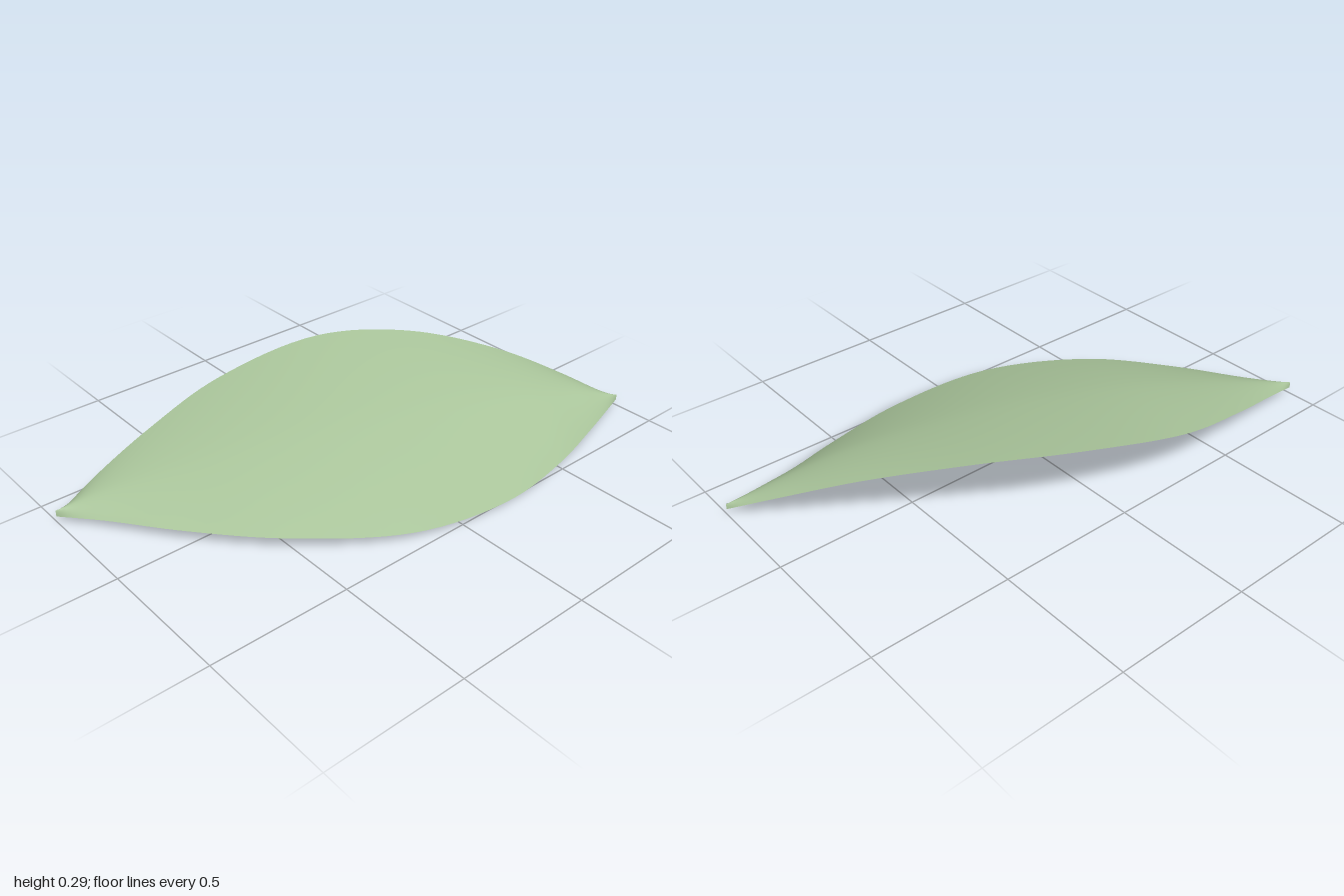
import * as THREE from 'three';

const V = (x, y, z) => new THREE.Vector3(x, y, z);

// Leaf sections from tip to tip: back edge, front edge, height of the arch between them
const sections = [
  [V(-1, 0.025, -0.385), V(-1, 0.025, -0.385), 0.023],
  [V(-0.83, 0.08, -0.43), V(-0.9, 0.04, -0.24), 0.025],
  [V(-0.57, 0.145, -0.485), V(-0.74, 0.05, -0.01), 0.028],
  [V(-0.25, 0.215, -0.52), V(-0.52, 0.055, 0.24), 0.033],
  [V(0.15, 0.285, -0.44), V(-0.18, 0.035, 0.46), 0.032],
  [V(0.45, 0.275, -0.26), V(0.2, 0.01, 0.515), 0.036],
  [V(0.7, 0.205, -0.03), V(0.52, 0.002, 0.47), 0.044],
  [V(0.87, 0.115, 0.165), V(0.78, 0.006, 0.4), 0.04],
  [V(1, 0.025, 0.34), V(1, 0.025, 0.34), 0.021],
];

// Curved sheet lofted between the two edges, arched along its midrib
function leafGeometry(rows, cols) {
  const back = new THREE.CatmullRomCurve3(sections.map(s => s[0]));
  const front = new THREE.CatmullRomCurve3(sections.map(s => s[1]));
  const arch = new THREE.SplineCurve(sections.map((s, i) => new THREE.Vector2(i, s[2])));
  const positions = [], indices = [];
  for (let i = 0; i <= rows; i++) {
    const t = i / rows;
    const a = back.getPoint(t), b = front.getPoint(t), h = arch.getPoint(t).y;
    for (let j = 0; j <= cols; j++) {
      const v = j / cols;
      const p = a.clone().lerp(b, v);
      p.y += h * (1 - Math.abs(2 * v - 1) ** 1.7);
      positions.push(p.x, p.y, p.z);
      if (i < rows && j < cols) {
        const k = i * (cols + 1) + j, n = k + cols + 1;
        indices.push(k, k + 1, n, k + 1, n + 1, n);
      }
    }
  }
  const geometry = new THREE.BufferGeometry();
  geometry.setAttribute('position', new THREE.Float32BufferAttribute(positions, 3));
  geometry.setIndex(indices);
  geometry.computeVertexNormals();
  return geometry;
}

export function createModel() {
  const group = new THREE.Group();
  group.name = 'leaf';
  const material = new THREE.MeshStandardMaterial({ color: 0xa9c49a, side: THREE.DoubleSide });
  const blade = new THREE.Mesh(leafGeometry(64, 20), material);
  blade.name = 'leafBlade';
  group.add(blade);
  return group;
}
